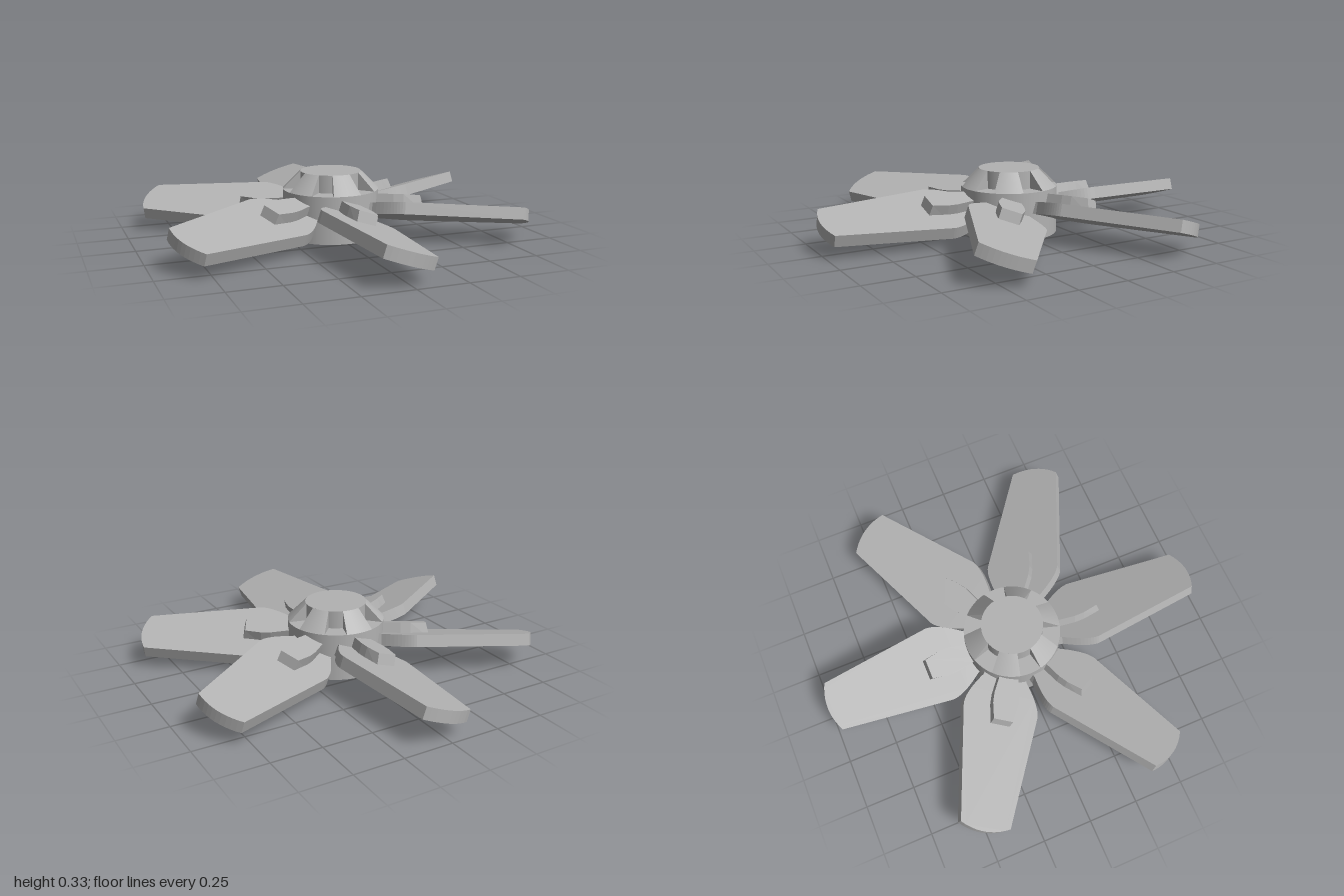
import * as THREE from 'three';

const PITCH = THREE.MathUtils.degToRad(18);
const COUNT = 6;

const grey = new THREE.MeshStandardMaterial({ color: 0xb2b2b2 });
grey.name = 'grey';
const greyThin = new THREE.MeshStandardMaterial({ color: 0xb2b2b2, side: THREE.DoubleSide });
greyThin.name = 'greyThin';

function mesh(name, geometry, material = grey) {
  const m = new THREE.Mesh(geometry, material);
  m.name = name;
  return m;
}

// Flat plate: outline drawn as (chord, radius), laid down with its top at the given height
function plate(shape, depth, top) {
  const g = new THREE.ExtrudeGeometry(shape, { depth, bevelEnabled: false, curveSegments: 10 });
  g.rotateX(Math.PI / 2);
  g.translate(0, top, 0);
  return g;
}

function bladeGeometry() {
  const s = new THREE.Shape();
  s.moveTo(-0.08, 0.1);
  s.lineTo(0.08, 0.1);
  s.lineTo(0.115, 0.23);
  s.quadraticCurveTo(0.195, 0.34, 0.195, 0.4);
  s.lineTo(0.125, 0.97);
  s.quadraticCurveTo(0, 1.03, -0.125, 0.97);
  s.lineTo(-0.195, 0.4);
  s.quadraticCurveTo(-0.195, 0.34, -0.115, 0.23);
  s.closePath();
  return plate(s, 0.06, 0.03);
}

// Raised bracket that joins a blade to the hub, with a sloping outer end
function bracketGeometry() {
  const s = new THREE.Shape();
  [[-0.05, 0.15], [0.05, 0.15], [0.05, 0.24], [0.065, 0.33], [0.065, 0.38], [0.05, 0.48],
    [-0.05, 0.48], [-0.065, 0.38], [-0.065, 0.33], [-0.05, 0.24]]
    .forEach(([x, y], i) => (i ? s.lineTo(x, y) : s.moveTo(x, y)));
  s.closePath();
  const g = plate(s, 0.08, 0.082);
  const p = g.attributes.position;
  for (let i = 0; i < p.count; i++) {
    if (p.getZ(i) > 0.47 && p.getY(i) > 0.05) p.setZ(i, 0.46);
  }
  g.computeVertexNormals();
  return g;
}

export function createModel() {
  const model = new THREE.Group();
  model.name = 'fan';

  // Hub drum and the raised centre
  const drum = mesh('hubDrum', new THREE.CylinderGeometry(0.245, 0.245, 0.24, 64));
  drum.position.y = 0.12;
  const core = mesh('hubCap', new THREE.CylinderGeometry(0.155, 0.155, 0.09, 64));
  core.position.y = 0.285;
  model.add(drum, core);

  const blade = bladeGeometry();
  const bracket = bracketGeometry();

  // Sloping buttress around the cap, in the sector from -half to +half
  const half = THREE.MathUtils.degToRad(17);
  const slope = new THREE.LatheGeometry(
    [new THREE.Vector2(0.245, 0.24), new THREE.Vector2(0.155, 0.33)], 10, -half, half * 2);
  const side = new THREE.ShapeGeometry(new THREE.Shape([
    new THREE.Vector2(0.15, 0.24), new THREE.Vector2(0.245, 0.24),
    new THREE.Vector2(0.155, 0.33), new THREE.Vector2(0.15, 0.33)]));

  for (let i = 0; i < COUNT; i++) {
    const sector = new THREE.Group();
    sector.name = 'sector' + (i + 1);
    sector.rotation.y = (i * 2 * Math.PI) / COUNT;

    const pitched = new THREE.Group();
    pitched.name = 'bladeAssembly';
    pitched.position.set(-0.015, 0.13, 0);
    pitched.rotation.z = -PITCH;
    const b = mesh('bracket', bracket);
    b.position.x = 0.005;
    pitched.add(mesh('blade', blade), b);
    sector.add(pitched);

    sector.add(mesh('buttressSlope', slope));
    for (const a of [-half, half]) {
      const wall = mesh('buttressSide', side, greyThin);
      wall.rotation.y = a - Math.PI / 2;
      sector.add(wall);
    }
    model.add(sector);
  }
  return model;
}
